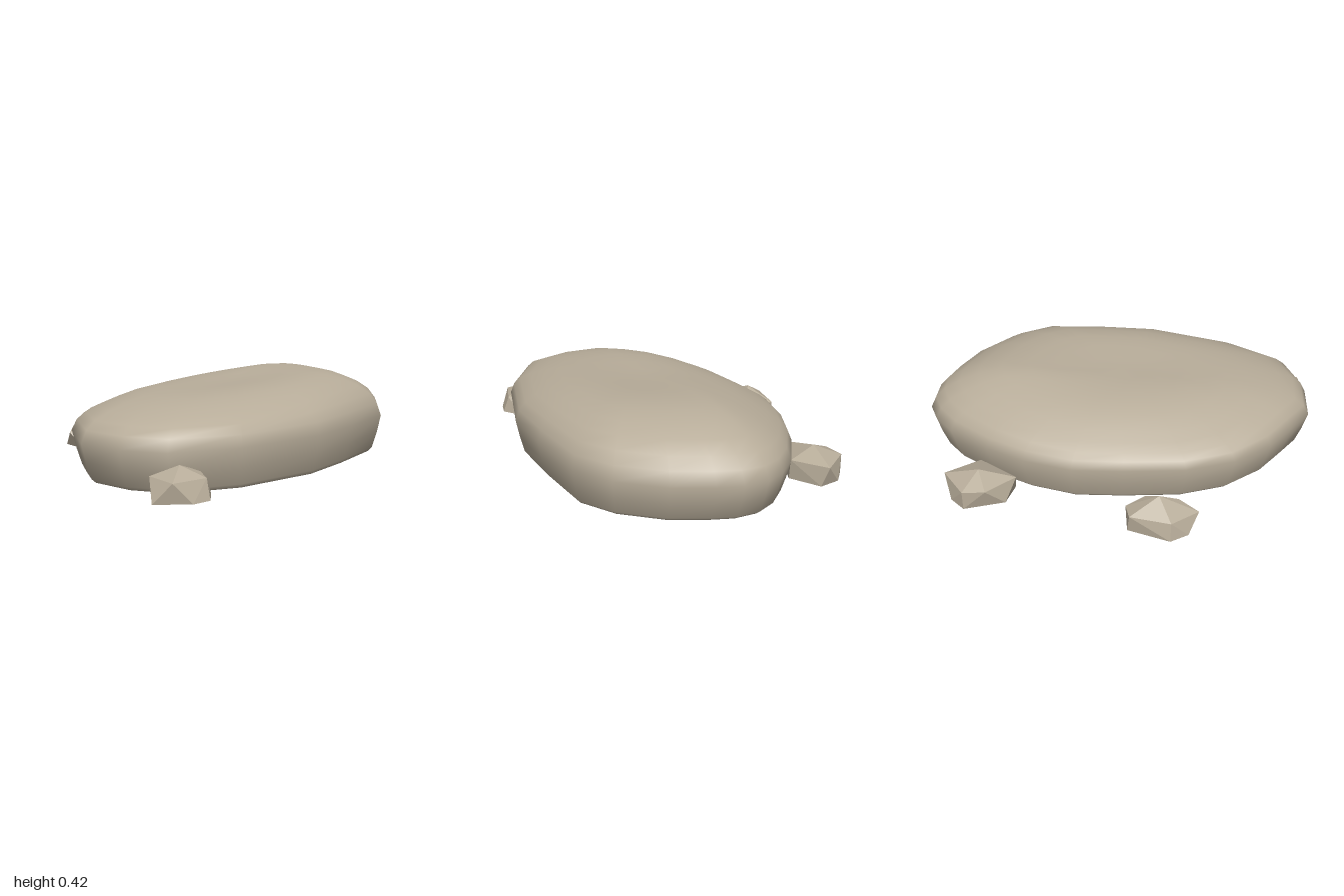
import * as THREE from 'three';
import { ConvexGeometry } from 'three/addons/geometries/ConvexGeometry.js';

// widest outline of the boulder seen from above (x, z)
const OUTLINE = [
  [1, 0], [0.99, -0.12], [0.93, -0.22], [0.82, -0.32], [0.6, -0.44], [0.4, -0.51], [0.15, -0.55],
  [-0.1, -0.52], [-0.4, -0.465], [-0.63, -0.36], [-0.8, -0.2], [-0.9, -0.04], [-0.99, 0.11],
  [-0.975, 0.34], [-0.88, 0.54], [-0.58, 0.69], [-0.12, 0.76], [0.2, 0.72], [0.57, 0.65],
  [0.75, 0.52], [0.9, 0.31], [0.97, 0.12],
];
// rings from the ground to the crown: [scale of outline, height]
const RINGS = [
  [0.92, 0], [0.945, 0.02], [0.975, 0.1], [1, 0.19], [0.97, 0.25], [0.92, 0.295], [0.84, 0.333],
  [0.74, 0.365], [0.62, 0.389], [0.48, 0.4], [0.32, 0.398], [0.16, 0.392],
];
const CZ = 0.1;

// the crown rises to the right and front and falls off to the back
function crownHeight(x, z, y) {
  const up = THREE.MathUtils.smoothstep(y, 0.18, 0.4);
  const back = Math.max(0, -z - 0.05);
  return y + up * (0.025 * Math.sin(x * 2.2) - 0.16 * back);
}

function boulderGeometry() {
  const n = OUTLINE.length, pos = [], idx = [];
  for (const [s, y] of RINGS)
    for (const [ox, oz] of OUTLINE) {
      const x = ox * s, z = CZ + (oz - CZ) * s;
      pos.push(x, crownHeight(x, z, y), z);
    }
  for (let r = 0; r < RINGS.length - 1; r++)
    for (let i = 0; i < n; i++) {
      const a = r * n + i, b = r * n + (i + 1) % n;
      idx.push(a, b, b + n, a, b + n, a + n);
    }
  const top = pos.length / 3, last = (RINGS.length - 1) * n;
  pos.push(0, 0.39, CZ);
  for (let i = 0; i < n; i++) idx.push(last + i, last + (i + 1) % n, top);
  const g = new THREE.BufferGeometry();
  g.setAttribute('position', new THREE.Float32BufferAttribute(pos, 3));
  g.setIndex(idx);
  g.computeVertexNormals();
  return g;
}

// flat underside
function baseGeometry() {
  const s = RINGS[0][0];
  const shape = new THREE.Shape(OUTLINE.map(([x, z]) => new THREE.Vector2(x * s, CZ + (z - CZ) * s)));
  return new THREE.ShapeGeometry(shape).rotateX(Math.PI / 2);
}

// corner points of the faceted stones (x, y, z)
const STONES = {
  backRightStone: [
    [-0.36, 0, -0.77], [-0.16, 0.09, -0.73], [-0.15, 0, -0.72], [-0.13, 0.08, -0.64], [-0.18, 0, -0.55],
    [-0.26, 0, -0.52], [-0.36, 0, -0.51], [-0.46, 0, -0.55], [-0.48, 0.08, -0.63], [-0.44, 0, -0.71],
    [-0.36, 0.09, -0.75], [-0.38, 0.12, -0.6], [-0.22, 0.12, -0.6], [-0.29, 0.16, -0.64],
  ],
  backLeftStone: [
    [0.43, 0.1, -0.53], [0.47, 0, -0.61], [0.55, 0.1, -0.67], [0.66, 0.1, -0.69], [0.66, 0, -0.69],
    [0.74, 0, -0.63], [0.79, 0.1, -0.55], [0.77, 0, -0.52], [0.64, 0.1, -0.42], [0.63, 0, -0.42],
    [0.45, 0, -0.48], [0.61, 0.15, -0.56],
  ],
  frontRightStone: [
    [-0.92, 0.09, 0.47], [-1, 0, 0.57], [-0.95, 0.09, 0.64], [-0.88, 0, 0.69], [-0.79, 0, 0.7],
    [-0.78, 0.09, 0.67], [-0.7, 0, 0.62], [-0.73, 0.1, 0.58], [-0.75, 0, 0.46], [-0.9, 0, 0.46],
    [-0.84, 0.14, 0.57],
  ],
};

export function createModel() {
  const group = new THREE.Group();
  const stone = new THREE.MeshStandardMaterial({ color: 0xb8ad9a });
  stone.name = 'sandstone';
  const add = (name, geometry) => {
    const mesh = new THREE.Mesh(geometry, stone);
    mesh.name = name;
    group.add(mesh);
  };
  add('boulder', boulderGeometry());
  add('boulderBase', baseGeometry());
  for (const [name, pts] of Object.entries(STONES))
    add(name, new ConvexGeometry(pts.map((p) => new THREE.Vector3(...p))));
  return group;
}
